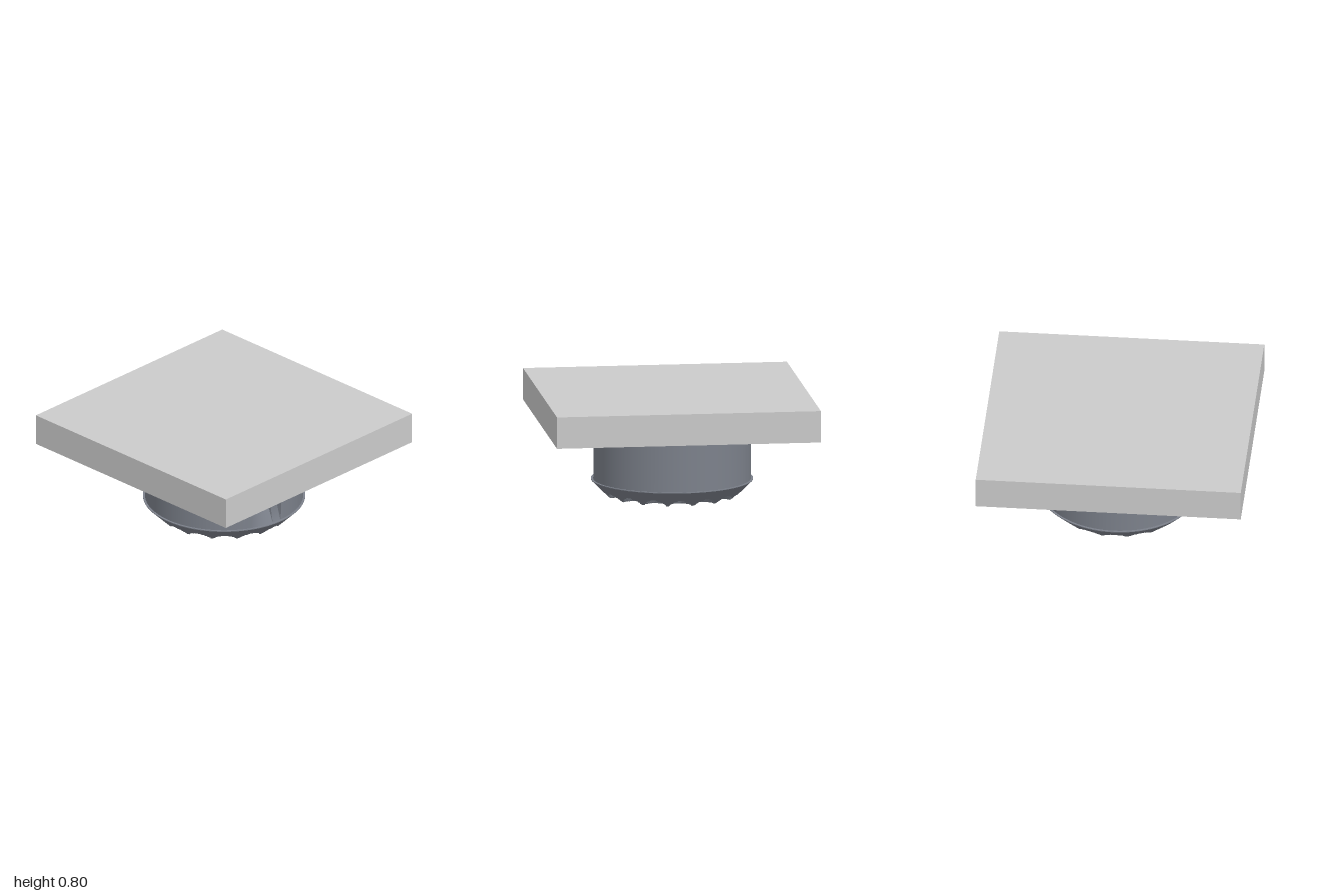
import * as THREE from 'three';
import { toCreasedNormals } from 'three/addons/utils/BufferGeometryUtils.js';

const BODY_R = 0.595;
const FLANGE_R = 0.61;
const BASE_R = 0.49;
const EPS = 0.0002;

// Closed surface around the y axis: each row is a function angle -> [radius, height]
function polarSurface(rows, columns, crease) {
  const positions = [];
  const indices = [];
  for (const row of rows) {
    for (let j = 0; j < columns; j++) {
      const a = (j / columns) * Math.PI * 2;
      const [r, y] = row(a);
      positions.push(r * Math.cos(a), y, r * Math.sin(a));
    }
  }
  for (let i = 0; i < rows.length - 1; i++) {
    for (let j = 0; j < columns; j++) {
      const k = (j + 1) % columns;
      const a = i * columns + j, b = a + columns;
      const c = i * columns + k, d = c + columns;
      indices.push(a, b, c, c, b, d);
    }
  }
  const geometry = new THREE.BufferGeometry();
  geometry.setAttribute('position', new THREE.Float32BufferAttribute(positions, 3));
  geometry.setIndex(indices);
  return toCreasedNormals(geometry, crease);
}

const ring = (r, y) => () => [r, y];

// Underside height: flat disc, 45 degree chamfer and sixteen rounded scallops
function undersideHeight(r, angle) {
  const step = Math.PI / 8;
  const off = angle - Math.round(angle / step) * step;
  const dx = r * Math.cos(off) - 0.465;
  const dz = r * Math.sin(off);
  const scoop = 0.13 * (1 - (dx * dx + dz * dz) / (0.085 * 0.085));
  return Math.max(0, r - BASE_R, scoop);
}

// Housing radius after the cable channel, side ledge and small socket are cut away
function housingRadius(angle, y) {
  const c = Math.cos(angle), s = Math.sin(angle);
  const x = BODY_R * c, z = BODY_R * s;
  let r = BODY_R;
  const dy = y - 0.305;
  if (c > 0 && z >= -1e-6 && Math.abs(dy) < 0.075) {
    const depth = z < 0.075 ? 0.56 : 0.54 - Math.sqrt(0.075 ** 2 - dy * dy);
    r = Math.min(r, depth / c);
  }
  if (c < 0 && y > 0.48) r = Math.min(r, 0.53 / -c);
  const wide = y > 0.515 && x > -0.455 && x < -0.325;
  const narrow = y > 0.485 && x > -0.43 && x < -0.375;
  if (z > 0 && (wide || narrow)) r = Math.min(r, BODY_R - 0.04);
  return r;
}

export function createModel() {
  const model = new THREE.Group();
  const metal = new THREE.MeshStandardMaterial({ color: 0x7c818b });
  const grey = new THREE.MeshStandardMaterial({ color: 0xcccccc });

  function add(name, geometry, material, x = 0, y = 0, z = 0) {
    const mesh = new THREE.Mesh(geometry, material);
    mesh.name = name;
    mesh.position.set(x, y, z);
    model.add(mesh);
  }

  // Square plate on top
  add('topPlate', new THREE.BoxGeometry(2, 0.24, 2), grey, 0, 0.68, 0);

  // Scalloped base with a blind centre hole and a thin flange lip
  const baseRows = [ring(0, 0.1), ring(0.06, 0.1), ring(0.06, 0)];
  for (let r = 0.37; r < FLANGE_R + 0.001; r += 0.01) {
    baseRows.push((a) => [r, undersideHeight(r, a)]);
  }
  baseRows.push(ring(FLANGE_R, 0.126), ring(BODY_R - 0.01, 0.126));
  add('scallopedBase', polarSurface(baseRows, 320, 0.5), metal);

  // Cylindrical housing; doubled rows make the edges of the cuts sharp
  const heights = [0.12, 0.23];
  for (let i = 0; i <= 16; i++) {
    heights.push(0.305 - (0.075 - EPS) * Math.cos((i / 16) * Math.PI));
  }
  heights.push(0.38);
  for (const y of [0.48, 0.485, 0.515]) heights.push(y, y + EPS);
  heights.push(0.55);
  const housingRows = heights.map((y) => (a) => [housingRadius(a, y), y]);
  housingRows.push(ring(0, 0.55));
  add('housing', polarSurface(housingRows, 720, 0.5), metal);

  // Fastener heads between housing and plate
  const heads = [
    [0, 0.43, 0.04], [0, -0.43, 0.04],
    [0.305, 0.305, 0.03], [0.305, -0.305, 0.03], [0.43, 0, 0.03],
  ];
  for (const [x, z, r] of heads) {
    add('fastenerHead', new THREE.CylinderGeometry(r, r, 0.012, 24), metal, x, 0.554, z);
  }

  return model;
}
